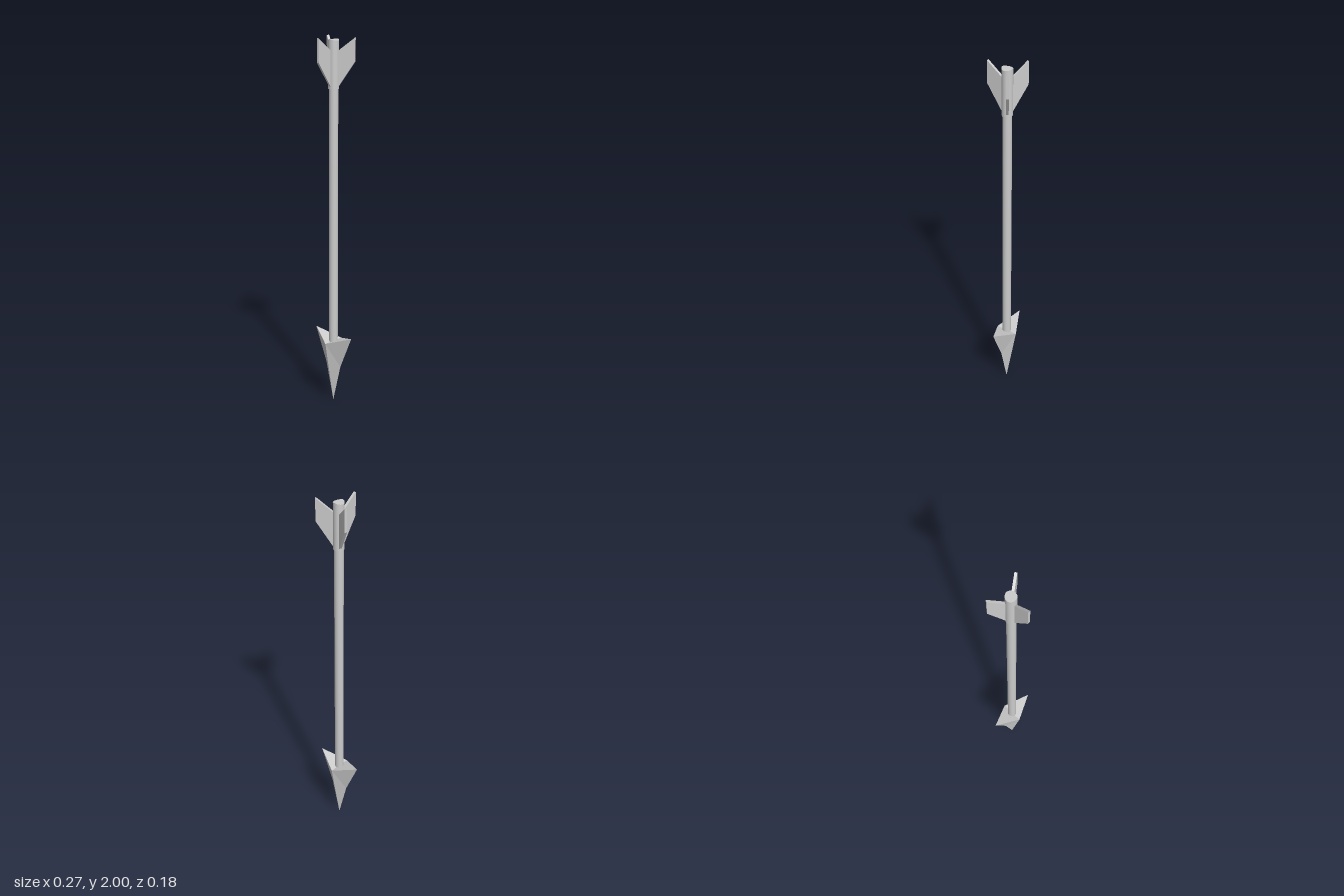
import * as THREE from 'three';

const AXIS_Z = -0.024;

export function createModel() {
  const model = new THREE.Group();
  model.name = 'arrow';
  const smooth = new THREE.MeshStandardMaterial({ color: 0xcccccc });
  const flat = new THREE.MeshStandardMaterial({ color: 0xcccccc, flatShading: true });

  const add = (name, geometry, material) => {
    const mesh = new THREE.Mesh(geometry, material);
    mesh.name = name;
    mesh.position.z = AXIS_Z;
    model.add(mesh);
    return mesh;
  };

  // Long round shaft, sunk into the head and the sleeve
  add('shaft', new THREE.CylinderGeometry(0.024, 0.024, 1.5, 32).translate(0, 1.05, 0), smooth);

  // Slightly wider sleeve at the tail, its top falling gently to both sides
  const sleeve = new THREE.CylinderGeometry(0.028, 0.028, 0.25, 32).translate(0, 1.865, 0);
  const p = sleeve.attributes.position;
  for (let i = 0; i < p.count; i++) {
    if (p.getY(i) > 1.9) p.setY(i, 1.99 - 0.25 * Math.abs(p.getX(i)));
  }
  add('tailSleeve', sleeve, smooth);

  // Three swept fins around the sleeve
  const outline = new THREE.Shape([
    [0.015, 1.925], [0.015, 1.735], [0.111, 1.88], [0.111, 2.0],
  ].map(([r, y]) => new THREE.Vector2(r, y)));
  const finGeometry = new THREE.ExtrudeGeometry(outline, { depth: 0.013, bevelEnabled: false })
    .translate(0, 0, -0.0065);
  const fins = { frontFin: -90, leftFin: 34, rightFin: 150 };
  for (const [name, degrees] of Object.entries(fins)) {
    add(name, finGeometry, flat).rotation.y = THREE.MathUtils.degToRad(degrees);
  }

  // Barbed diamond head: one quarter mirrored to all four sides
  const tip = [0, 0, 0], ridge = [0, 0.355, 0.062];
  const barb = [0.135, 0.405, 0], waist = [0.054, 0.215, 0], middle = [0, 0.355, 0];
  const quarter = [[tip, waist, ridge], [waist, barb, ridge], [ridge, barb, middle]];
  const points = [];
  for (const sx of [1, -1]) {
    for (const sz of [1, -1]) {
      for (const face of quarter) {
        const corners = sx * sz > 0 ? face : [...face].reverse();
        for (const [x, y, z] of corners) points.push(x * sx, y, z * sz);
      }
    }
  }
  const head = new THREE.BufferGeometry();
  head.setAttribute('position', new THREE.Float32BufferAttribute(points, 3));
  head.computeVertexNormals();
  add('arrowHead', head, flat);

  return model;
}
